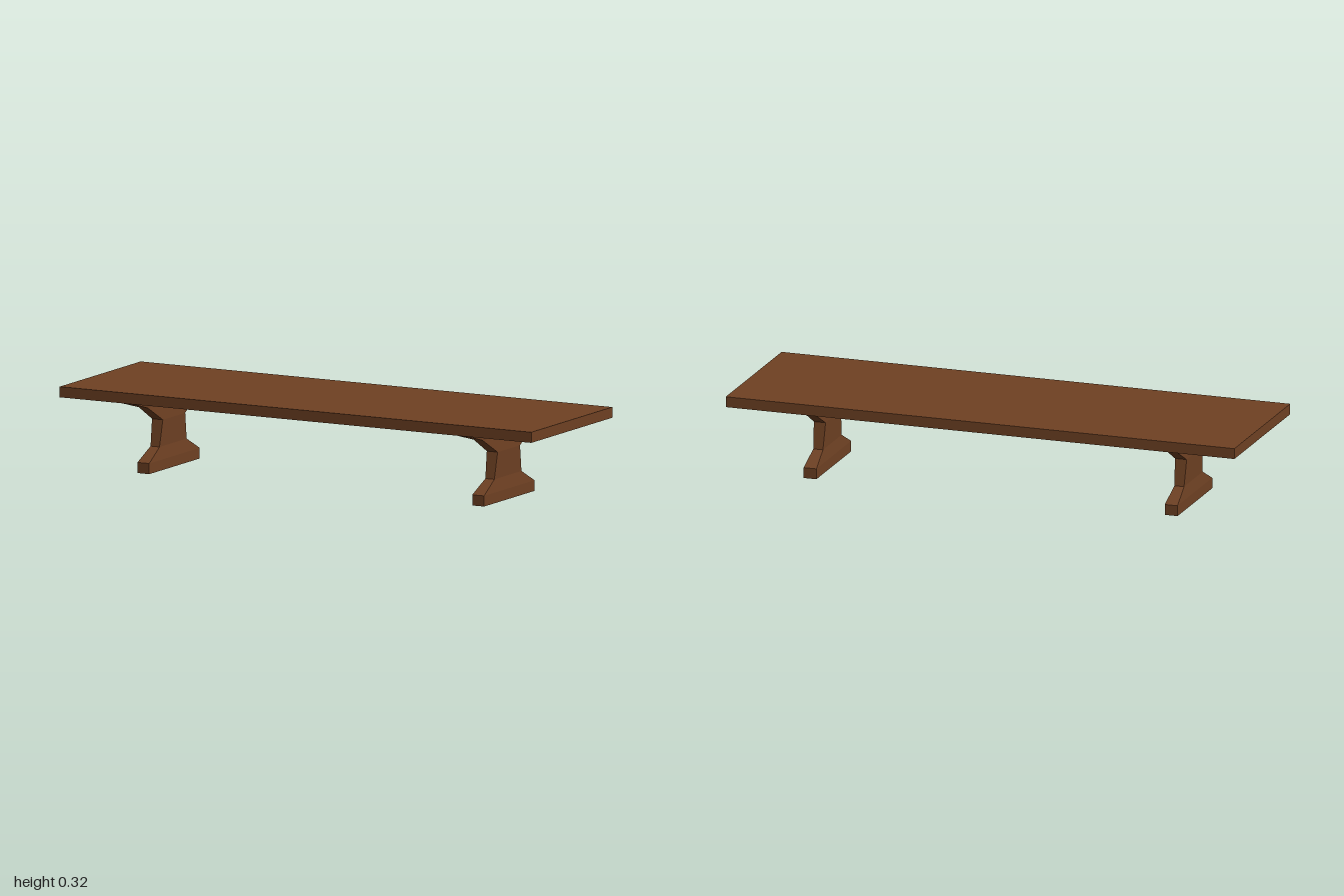
import * as THREE from 'three';

// Trestle cross-sections from floor to tabletop: [height, half depth, half thickness]
const SECTIONS = [
  [0, 0.192, 0.025],
  [0.04, 0.192, 0.025],
  [0.088, 0.103, 0.019],
  [0.188, 0.085, 0.023],
  [0.248, 0.192, 0.019],
  [0.28, 0.308, 0.024],
];

// A box with one row per section, each row moved to its section's size
function trestleGeometry() {
  const rows = SECTIONS.length - 1;
  const box = new THREE.BoxGeometry(2, rows, 2, 1, rows, 1);
  const p = box.attributes.position;
  for (let i = 0; i < p.count; i++) {
    const [y, halfZ, halfX] = SECTIONS[Math.round(p.getY(i) + rows / 2)];
    p.setXYZ(i, p.getX(i) * halfX, y, p.getZ(i) * halfZ);
  }
  const flat = box.toNonIndexed();
  flat.computeVertexNormals(); // hard facets
  return flat;
}

export function createModel() {
  const wood = new THREE.MeshStandardMaterial({ color: 0x6f4123 });
  wood.name = 'brown wood';

  const group = new THREE.Group();
  group.name = 'trestleTable';

  // Flat plank top
  const top = new THREE.Mesh(new THREE.BoxGeometry(2, 0.04, 0.616), wood);
  top.name = 'tabletop';
  top.position.y = 0.3;
  group.add(top);

  // Matching trestle legs near both ends
  const geometry = trestleGeometry();
  for (const [name, side] of [['leftLeg', 1], ['rightLeg', -1]]) {
    const leg = new THREE.Mesh(geometry, wood);
    leg.name = name;
    leg.position.x = side * 0.71;
    group.add(leg);
  }
  return group;
}
